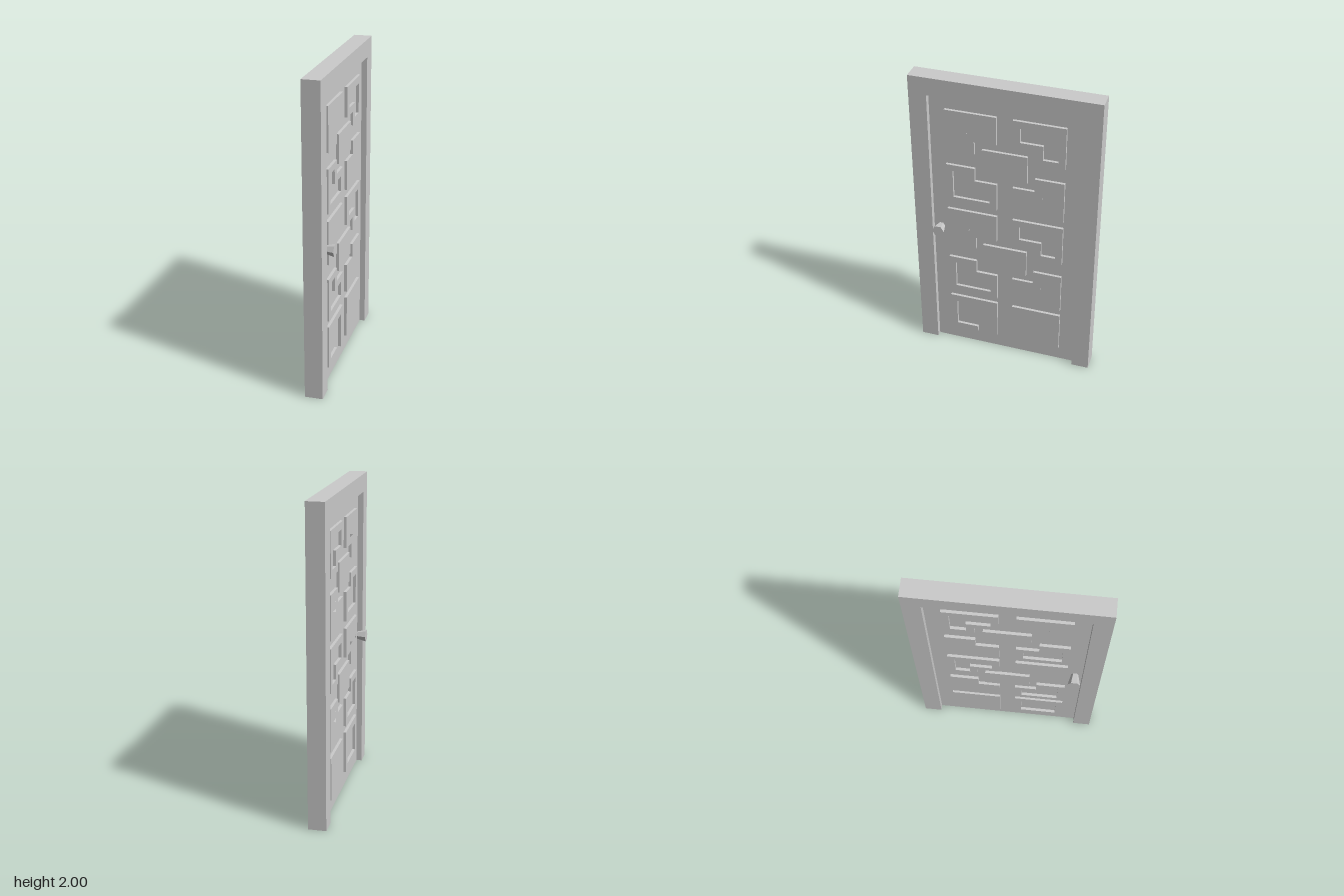
import * as THREE from 'three';

const material = new THREE.MeshStandardMaterial({ color: 0xcccccc, flatShading: true });
const FRAME = 0.057, PANEL = 0.021, RELIEF = 0.018; // half thicknesses and relief height

// Extrudes a shape drawn in (z, y) along x, from x0 to x1.
function slab(name, outline, holes, x0, x1) {
  const toPath = (pts) => pts.map(([z, y]) => new THREE.Vector2(-z, y));
  const shape = new THREE.Shape(toPath(outline));
  holes.forEach((h) => shape.holes.push(new THREE.Path(toPath(h))));
  const geometry = new THREE.ExtrudeGeometry(shape, { depth: x1 - x0, bevelEnabled: false });
  geometry.rotateY(Math.PI / 2);
  geometry.translate(x0, 0, 0);
  const mesh = new THREE.Mesh(geometry, material);
  mesh.name = name;
  return mesh;
}

const rect = (z0, y0, z1, y1) => [[z0, y0], [z1, y0], [z1, y1], [z0, y1]];

// Square with one corner cut away
const notched = (z0, y0, z1, y1, zn, yn) =>
  [[z0, y0], [z1, y0], [z1, yn], [zn, yn], [zn, y1], [z0, y1]];

// Raised fretwork on one face; side is +1 or -1 along x
function fretwork(side) {
  const group = new THREE.Group();
  group.name = side > 0 ? 'leftFretwork' : 'rightFretwork';
  const a = side * (PANEL - 0.002), b = side * (PANEL + RELIEF);
  const add = (name, outline, holes) =>
    group.add(slab(name, outline, holes, Math.min(a, b), Math.max(a, b)));

  // Two motifs: a central rectangle between four notched squares
  for (const cy of [1.466, 0.756]) {
    add('centreRing', rect(-0.143, cy - 0.093, 0.143, cy + 0.093),
      [rect(-0.096, cy - 0.05, 0.096, cy + 0.05)]);
    for (const s of [1, -1]) for (const v of [1, -1]) {
      add('notchedRing',
        notched(0.376 * s, cy + 0.331 * v, 0.051 * s, cy + 0.05 * v, 0.191 * s, cy + 0.14 * v),
        [notched(0.333 * s, cy + 0.284 * v, 0.096 * s, cy + 0.093 * v, 0.239 * s, cy + 0.188 * v)]);
    }
  }

  // Bottom squares; one is open at its lower edge
  const outer = (s) => rect(0.376 * s, 0.1, 0.051 * s, 0.382);
  const inner = (s) => rect(0.333 * s, 0.143, 0.096 * s, 0.334);
  add('lowerRing', outer(-1), [inner(-1)]);
  if (side < 0) add('lowerRing', outer(1), [inner(1)]);
  else add('openRing', [
    [0.19, 0.1], [0.376, 0.1], [0.376, 0.382], [0.051, 0.382], [0.051, 0.1], [0.096, 0.1],
    [0.096, 0.334], [0.333, 0.334], [0.333, 0.143], [0.19, 0.143]], []);
  return group;
}

// Flared hexagonal knob
function knob(side) {
  const length = 0.092 - PANEL + 0.002;
  const geometry = new THREE.CylinderGeometry(0.04, 0.022, length, 6);
  geometry.rotateZ(-side * Math.PI / 2);
  const mesh = new THREE.Mesh(geometry, material);
  mesh.position.set(side * (0.092 - length / 2), 0.932, 0.427);
  mesh.name = side > 0 ? 'leftKnob' : 'rightKnob';
  return mesh;
}

export function createModel() {
  const door = new THREE.Group();
  door.name = 'door';

  // Frame: two jambs and a lintel in one piece
  door.add(slab('frame', [
    [0.588, 0], [0.588, 2], [-0.588, 2], [-0.588, 0],
    [-0.475, 0], [-0.475, 1.885], [0.475, 1.885], [0.475, 0]], [], -FRAME, FRAME));

  door.add(slab('panel', rect(-0.475, 0, 0.475, 1.885), [], -PANEL, PANEL));

  for (const side of [1, -1]) door.add(fretwork(side), knob(side));
  return door;
}
